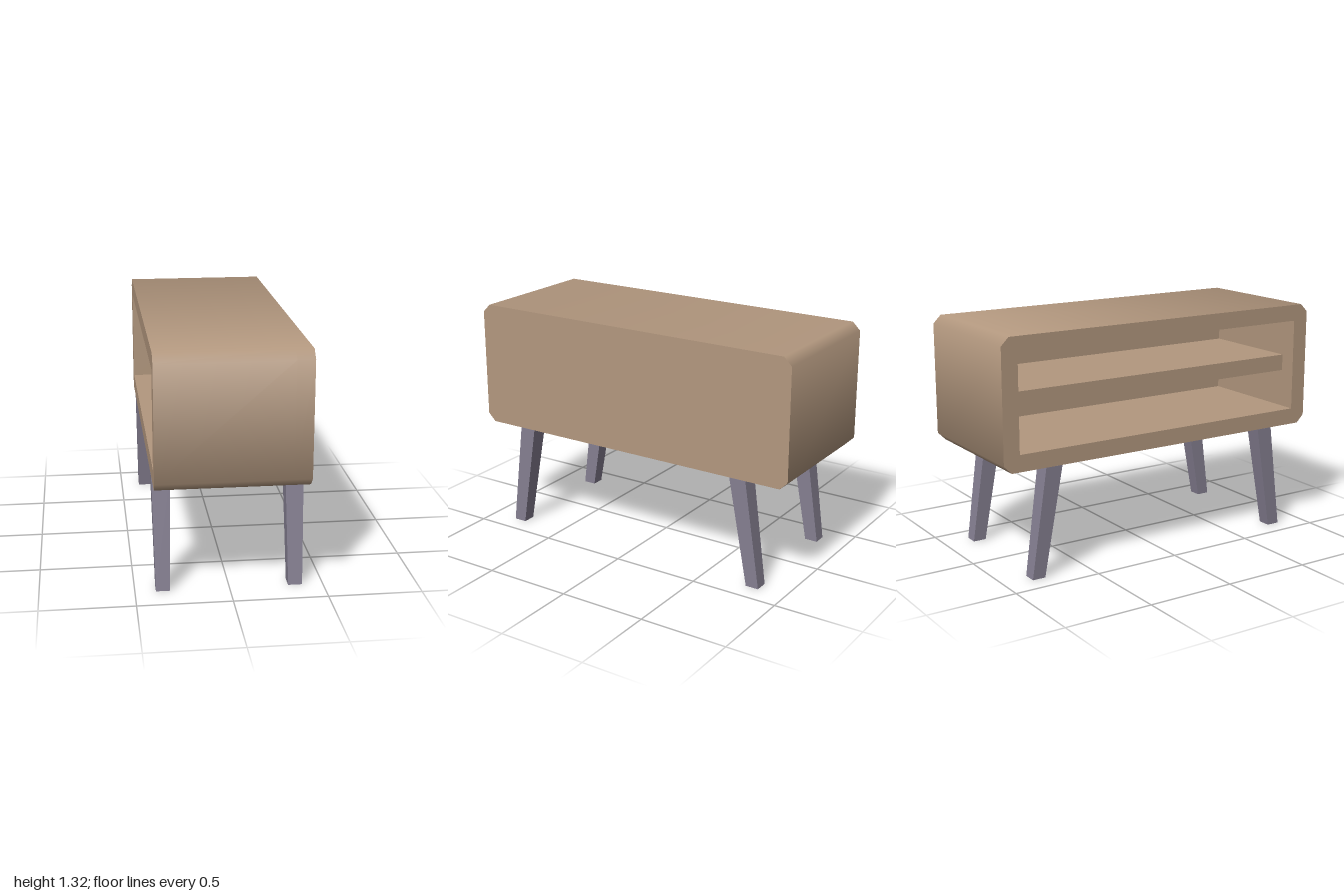
import * as THREE from 'three';

const W = 0.4;        // half depth of the cabinet along x
const L = 1;          // half length along z
const H = 0.355;      // half height of the body
const MID = 0.965;    // height of the body centre
const CUT = 0.045;    // corner chamfer
const T = 0.093;      // board thickness

// Chamfered outline of the body, length along x and height along y
function bodyOutline() {
  return new THREE.Shape([
    [L, -H + CUT], [L, H - CUT], [L - CUT, H], [-L + CUT, H],
    [-L, H - CUT], [-L, -H + CUT], [-L + CUT, -H], [L - CUT, -H],
  ].map(([x, y]) => new THREE.Vector2(x, y)));
}

// Extrude the outline from x0 to x1, with the outer wall shaded smoothly around the chamfers
function bodySlice(shape, x0, x1) {
  const geo = new THREE.ExtrudeGeometry(shape, { depth: x1 - x0, bevelEnabled: false });
  const pos = geo.attributes.position, nor = geo.attributes.normal;
  const c = Math.cos(Math.PI / 8), s = Math.sin(Math.PI / 8);
  for (let i = 0; i < pos.count; i++) {
    const x = pos.getX(i), y = pos.getY(i);
    if (Math.abs(nor.getZ(i)) > 0.5) continue;
    if (Math.abs(x) > L - 0.001) nor.setXYZ(i, Math.sign(x) * c, Math.sign(y) * s, 0);
    else if (Math.abs(y) > H - 0.001) nor.setXYZ(i, Math.sign(x) * s, Math.sign(y) * c, 0);
  }
  return geo.rotateY(Math.PI / 2).translate(x0, MID, 0);
}

// Tapered leg, splayed outwards along z
function legGeometry(sx, sz) {
  const geo = new THREE.BoxGeometry(1, 1, 1);
  const pos = geo.attributes.position;
  for (let i = 0; i < pos.count; i++) {
    const top = pos.getY(i) > 0;
    const width = top ? 0.097 : 0.075;
    pos.setXYZ(i,
      sx * 0.352 + pos.getX(i) * width,
      top ? MID - H : 0,
      sz * (top ? 0.705 : 0.803) + pos.getZ(i) * width);
  }
  geo.computeVertexNormals();
  return geo;
}

export function createModel() {
  const wood = new THREE.MeshStandardMaterial({ color: 0xb3987f });
  wood.name = 'warm wood';
  const legPaint = new THREE.MeshStandardMaterial({ color: 0x868092 });
  legPaint.name = 'grey violet';

  const model = new THREE.Group();
  model.name = 'sideboard';
  const add = (name, geo, mat) => {
    const mesh = new THREE.Mesh(geo, mat);
    mesh.name = name;
    model.add(mesh);
  };

  // Hollow case, open towards -x
  const frame = bodyOutline();
  const a = L - T, b = H - T;
  frame.holes.push(new THREE.Path([
    new THREE.Vector2(-a, -b), new THREE.Vector2(-a, b),
    new THREE.Vector2(a, b), new THREE.Vector2(a, -b),
  ]));
  add('caseFrame', bodySlice(frame, -W, W - T), wood);
  add('closedPanel', bodySlice(bodyOutline(), W - T, W), wood);

  // Recessed shelf at mid height
  const shelf = new THREE.BoxGeometry(2 * (W - T), T, 2 * a);
  add('shelf', shelf.translate(0, MID, 0), wood);

  // Four legs
  for (const sx of [-1, 1]) {
    for (const sz of [-1, 1]) {
      add((sz > 0 ? 'front' : 'back') + (sx > 0 ? 'Left' : 'Right') + 'Leg', legGeometry(sx, sz), legPaint);
    }
  }
  return model;
}
